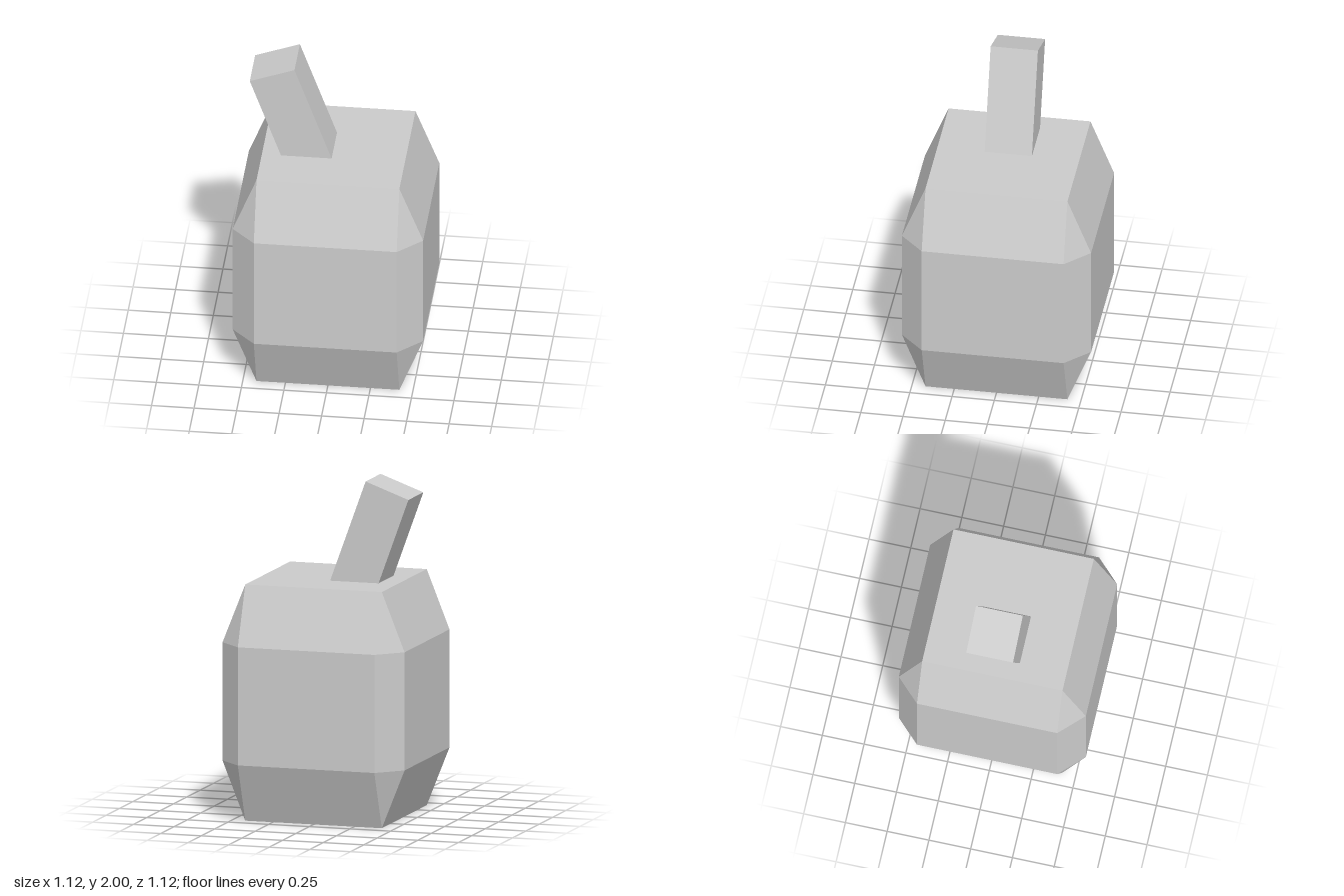
import * as THREE from 'three';
import { ConvexGeometry } from 'three/addons/geometries/ConvexGeometry.js';

export function createModel() {
  const group = new THREE.Group();
  const material = new THREE.MeshStandardMaterial({ color: 0xcccccc, flatShading: true });

  // Body: square top and bottom, swelling to a chamfered octagonal middle
  const inner = 0.42, outer = 0.56;
  const points = [];
  for (const sx of [-1, 1]) {
    for (const sz of [-1, 1]) {
      for (const y of [0, 1.4]) points.push(new THREE.Vector3(sx * inner, y, sz * inner));
      for (const y of [0.35, 1.05]) {
        points.push(new THREE.Vector3(sx * outer, y, sz * inner));
        points.push(new THREE.Vector3(sx * inner, y, sz * outer));
      }
    }
  }
  const body = new THREE.Mesh(new ConvexGeometry(points), material);
  body.name = 'body';
  group.add(body);

  // Stem: square post leaning to the right, its foot sunk into the body
  const stem = new THREE.Mesh(new THREE.BoxGeometry(0.28, 0.7, 0.28), material);
  stem.name = 'stem';
  stem.position.set(-0.24, 1.623, 0);
  stem.rotation.z = THREE.MathUtils.degToRad(20);
  group.add(stem);

  return group;
}
